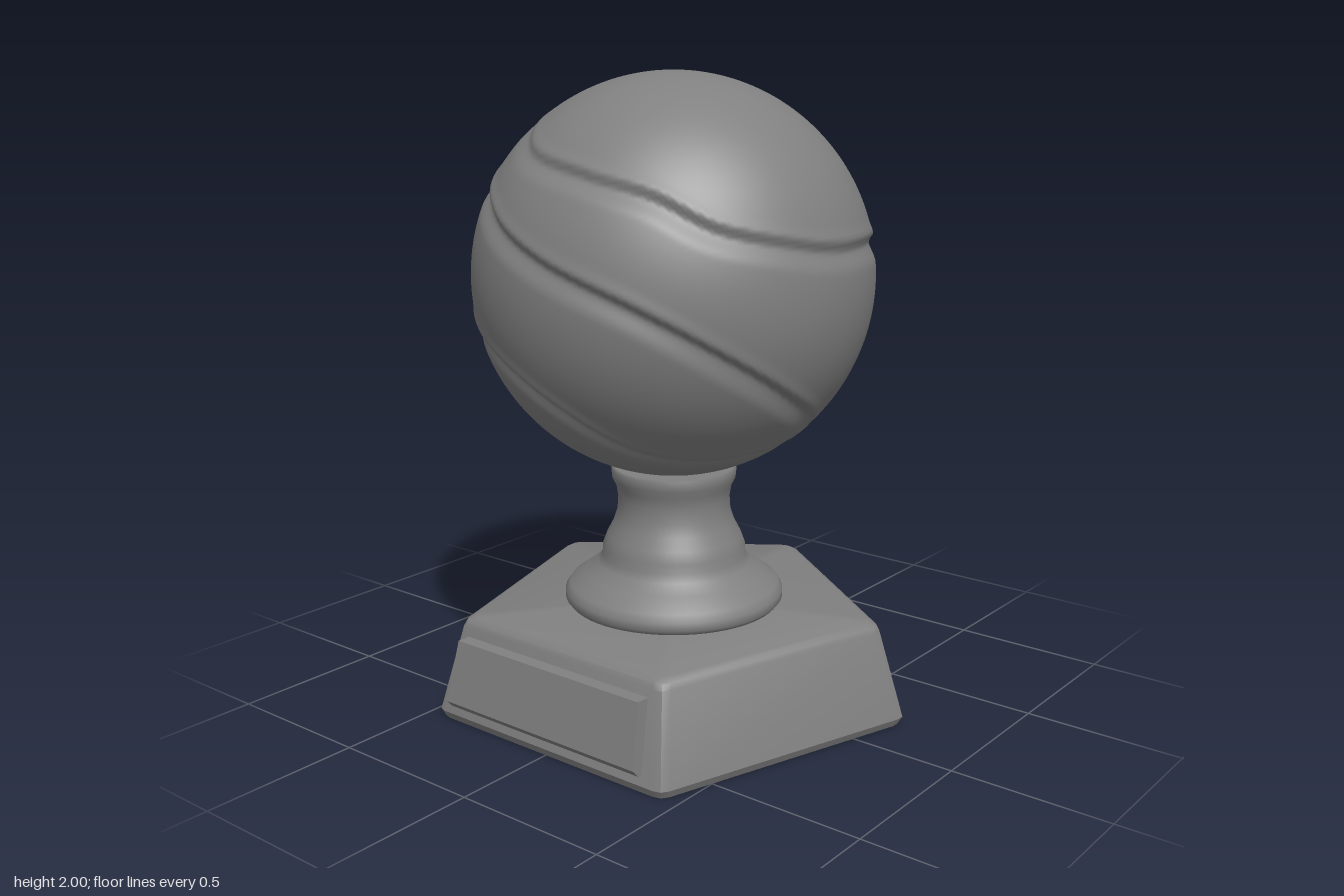
import * as THREE from 'three';
import { mergeVertices, toCreasedNormals } from 'three/addons/utils/BufferGeometryUtils.js';

const CZ = 0.053; // shared axis of globe, stem and base

// Five-sided outline with slightly rounded corners
function pentagon(R, y, cut = 0.03) {
  const corner = (k) => new THREE.Vector3(
    R * Math.sin((k * 2 * Math.PI) / 5), y, -R * Math.cos((k * 2 * Math.PI) / 5));
  const pts = [];
  for (let k = 0; k < 5; k++) {
    const c = corner(k);
    const a = c.clone().add(corner(k - 1).sub(c).setLength(cut));
    const b = c.clone().add(corner(k + 1).sub(c).setLength(cut));
    pts.push(a, c.clone().multiplyScalar(2).add(a).add(b).multiplyScalar(0.25), b);
  }
  return pts;
}

function baseGeometry() {
  const rings = [[0.758, 0], [0.772, 0.025], [0.692, 0.295], [0.682, 0.312], [0.655, 0.325]]
    .map(([R, y]) => pentagon(R, y));
  const n = rings[0].length;
  const pos = [];
  const tri = (...v) => v.forEach((p) => pos.push(p.x, p.y, p.z));
  const top = rings[rings.length - 1];
  const topMid = new THREE.Vector3(0, top[0].y, 0);
  const bottomMid = new THREE.Vector3();
  for (let i = 0; i < n; i++) {
    const j = (i + 1) % n;
    for (let r = 0; r + 1 < rings.length; r++) {
      const lo = rings[r], hi = rings[r + 1];
      tri(lo[j], lo[i], hi[i]);
      tri(lo[j], hi[i], hi[j]);
    }
    tri(topMid, top[j], top[i]);
    tri(bottomMid, rings[0][i], rings[0][j]);
  }
  const g = new THREE.BufferGeometry();
  g.setAttribute('position', new THREE.Float32BufferAttribute(pos, 3));
  return toCreasedNormals(g, 0.66);
}

// Paths of the three spiral grooves, relative to the globe's centre
const SPIRALS = [
  [[-.35, .49, .15], [-.15, .4, .447], [.1, .35, .5], [.3, .3, .45], [.45, .217, .367],
    [.58, .16, .15], [.6, .14, 0], [.45, .12, -.42], [.1, .03, -.6], [-.25, -.1, -.55], [-.42, -.22, -.38]],
  [[-.38, .46, -.17], [-.47, .4, .05], [-.45, .33, .3], [-.2, .2, .54], [0, .12, .6],
    [.3, 0, .54], [.45, -.11, .4], [.53, -.24, .2], [.5, -.38, -.05], [.41, -.44, -.17]],
  [[.27, .34, -.44], [-.05, .275, -.553], [-.25, .23, -.52], [-.45, .13, -.4], [-.6, .03, -.15],
    [-.61, -.06, .1], [-.45, -.11, .41], [-.2, -.21, .55], [0, -.32, .53], [.2, -.46, .35],
    [.38, -.49, .05], [.38, -.45, -.2], [.2, -.36, -.45]],
];

function globeGeometry(radius) {
  let g = new THREE.SphereGeometry(radius, 240, 140);
  g.deleteAttribute('uv');
  g.deleteAttribute('normal');
  g = mergeVertices(g, 1e-5);

  // Sample each path on the sphere with the direction pointing to its upper side
  const samples = [];
  for (const path of SPIRALS) {
    const curve = new THREE.CatmullRomCurve3(
      path.map((p) => new THREE.Vector3(...p).setLength(radius)));
    const N = 120;
    for (let i = 0; i <= N; i++) {
      const p = curve.getPoint(i / N).setLength(radius);
      const up = p.clone().cross(curve.getTangent(i / N)).normalize();
      const fade = Math.min(1, 6 * Math.min(i / N, 1 - i / N));
      samples.push({ p, up, fade });
    }
  }

  // Sharp step under each path, easing back to the sphere below it
  const P = g.attributes.position;
  const v = new THREE.Vector3();
  const d = new THREE.Vector3();
  for (let i = 0; i < P.count; i++) {
    v.fromBufferAttribute(P, i);
    let best = null, dist = Infinity;
    for (const s of samples) {
      const q = v.distanceToSquared(s.p);
      if (q < dist) { dist = q; best = s; }
    }
    if (dist > 0.02) continue;
    const side = d.subVectors(v, best.p).dot(best.up);
    const below = THREE.MathUtils.smoothstep(-side, -0.006, 0.014);
    const ease = 1 - THREE.MathUtils.smoothstep(-side, 0.014, 0.085);
    const ridge = 0.004 * Math.exp(-((side - 0.012) ** 2) / 0.0004);
    v.setLength(radius + best.fade * (ridge - 0.016 * below * ease));
    P.setXYZ(i, v.x, v.y, v.z);
  }
  g.computeVertexNormals();
  return g;
}

function stemGeometry() {
  const profile = [[0, .325], [.338, .325], [.35, .34], [.35, .365], [.335, .388], [.285, .425],
    [.245, .455], [.23, .48], [.229, .508], [.215, .545], [.195, .583], [.181, .625], [.178, .67],
    [.184, .707], [.197, .733], [.2, .765], [.19, .77], [0, .77]];
  const g = new THREE.LatheGeometry(profile.map((p) => new THREE.Vector2(...p)), 64);
  return g;
}

function plaqueGeometry() {
  // Side profile as (z, y), swept across x
  const shape = new THREE.Shape([[.61, .27], [.662, .27], [.705, .08], [.682, .055], [.64, .06]]
    .map((p) => new THREE.Vector2(...p)));
  const g = new THREE.ExtrudeGeometry(shape, { depth: 0.75, bevelEnabled: false });
  g.rotateY(-Math.PI / 2).translate(0.375, 0, 0);
  // Narrow slightly towards the top
  const P = g.attributes.position;
  for (let i = 0; i < P.count; i++) P.setX(i, P.getX(i) * (1.03 - 0.22 * P.getY(i)) - 0.004);
  g.computeVertexNormals();
  return g;
}

export function createModel() {
  const grey = new THREE.MeshStandardMaterial({ color: 0x808080 });
  grey.name = 'grey';
  const group = new THREE.Group();
  group.name = 'trophy';
  const add = (name, geometry, y = 0, z = 0) => {
    const m = new THREE.Mesh(geometry, grey);
    m.name = name;
    m.position.set(0, y, z);
    group.add(m);
  };
  add('base', baseGeometry(), 0, CZ);
  add('plaque', plaqueGeometry());
  add('stem', stemGeometry(), 0, CZ);
  add('globe', globeGeometry(0.622), 1.378, CZ);
  return group;
}
